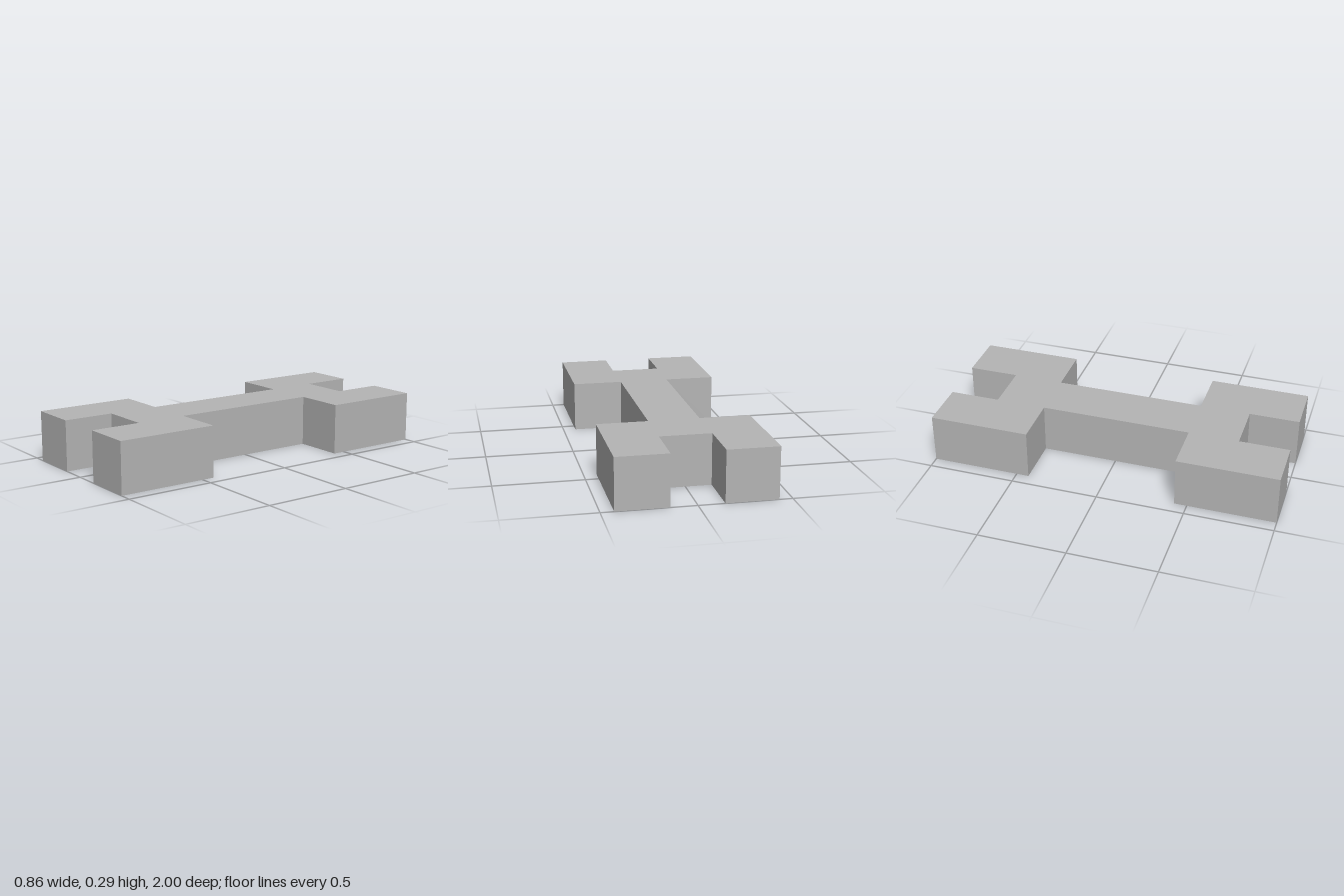
import * as THREE from 'three';

export function createModel() {
  const model = new THREE.Group();
  model.name = 'doubleEndedWrench';

  const grey = new THREE.MeshStandardMaterial({ color: 0xb4b4b4 });
  grey.name = 'grey';

  // The whole outline sits on a grid seven units long
  const unit = 2 / 7;

  // One jaw side: shaft corner, shoulder, prong tip, notch corner
  const side = [[0.5, 1.5], [1.5, 1.5], [1.5, 3.5], [0.5, 3.5], [0.5, 2.5]];
  // Mirror it for a full jaw, then turn that half round for the other end
  const jaw = [...side, ...side.map(([x, y]) => [-x, y]).reverse()];
  const outline = [...jaw, ...jaw.map(([x, y]) => [-x, -y])];

  const shape = new THREE.Shape(
    outline.map(([x, y]) => new THREE.Vector2(x * unit, y * unit))
  );
  const geometry = new THREE.ExtrudeGeometry(shape, { depth: unit, bevelEnabled: false });
  geometry.rotateX(-Math.PI / 2); // lay flat, thickness upwards from y = 0

  const body = new THREE.Mesh(geometry, grey);
  body.name = 'shaftAndJaws';
  model.add(body);

  return model;
}
